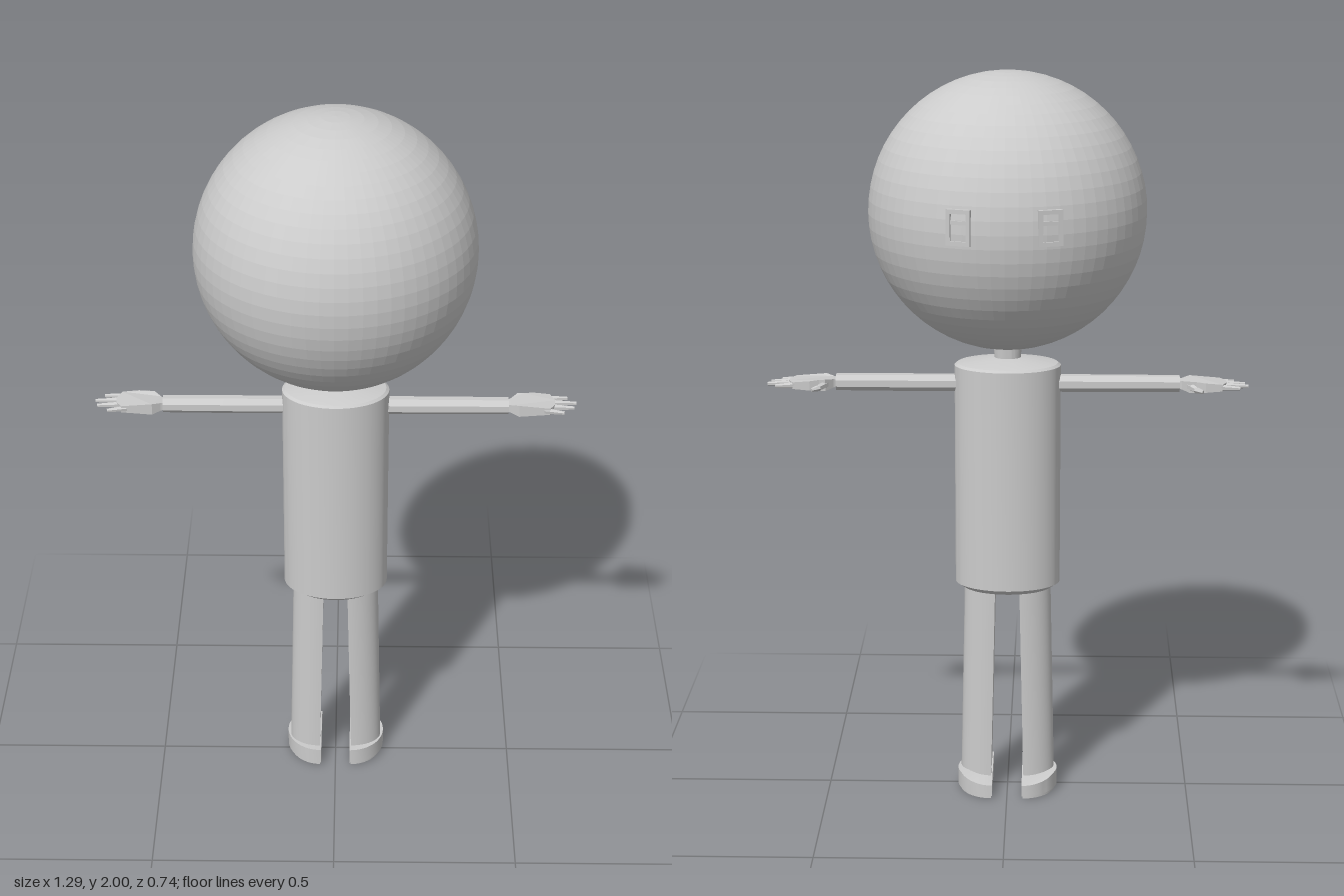
import * as THREE from 'three';
import { toCreasedNormals } from 'three/addons/utils/BufferGeometryUtils.js';

const smooth = new THREE.MeshStandardMaterial({ color: 0xcccccc });
const flat = new THREE.MeshStandardMaterial({ color: 0xcccccc, flatShading: true });

function add(parent, name, geometry, material = smooth) {
  const mesh = new THREE.Mesh(geometry, material);
  mesh.name = name;
  parent.add(mesh);
  return mesh;
}

// Move every vertex by a rule
function warp(geometry, rule) {
  const p = geometry.attributes.position, v = new THREE.Vector3();
  for (let i = 0; i < p.count; i++) {
    rule(v.fromBufferAttribute(p, i));
    p.setXYZ(i, v.x, v.y, v.z);
  }
  geometry.computeVertexNormals();
  return geometry;
}

// Upright prism from an outline of [x, z] points
function prism(points, y0, y1) {
  const shape = new THREE.Shape(points.map(([x, z]) => new THREE.Vector2(x, -z)));
  return new THREE.ExtrudeGeometry(shape, { depth: y1 - y0, bevelEnabled: false })
    .rotateX(-Math.PI / 2).translate(0, y0, 0);
}

// Half oval: flat on the inner side, round on the outer side
function halfOval(s, inner, outer, front, back) {
  const points = [];
  for (let i = 0; i <= 24; i++) {
    const a = -Math.PI / 2 + (Math.PI * i) / 24;
    points.push([s * (inner + (outer - inner) * Math.cos(a)),
      (front + back) / 2 + ((back - front) / 2) * Math.sin(a)]);
  }
  return points;
}

// Tapered faceted rod between two points
function rod(parent, name, a, b, ra, rb, sides) {
  const from = new THREE.Vector3(...a), to = new THREE.Vector3(...b);
  const dir = to.clone().sub(from);
  const geometry = new THREE.CylinderGeometry(rb, ra, dir.length(), sides).rotateY(Math.PI / sides);
  const mesh = add(parent, name, geometry, flat);
  mesh.position.copy(from).lerp(to, 0.5);
  mesh.quaternion.setFromUnitVectors(new THREE.Vector3(0, 1, 0), dir.normalize());
  return mesh;
}

// Oval lathe with sharp rims
function ovalLathe(profile, depth) {
  const points = profile.map(([r, y]) => new THREE.Vector2(r, y));
  return toCreasedNormals(new THREE.LatheGeometry(points, 64).scale(1, 1, depth), 0.25);
}

function buildLeg(s) {
  const leg = new THREE.Group();
  // Legs lean outward toward the feet
  const limb = warp(prism(halfOval(s, 0.033, 0.118, -0.06, 0.06), 0.04, 0.605), (v) => {
    v.x += s * 0.012 * (0.605 - v.y) / 0.56;
  });
  add(leg, 'limb', toCreasedNormals(limb, 0.4));
  // Toes slope down, sole edge slightly tucked in
  const foot = warp(prism(halfOval(s, 0.041, 0.138, -0.12, 0.083), 0.01, 0.056), (v) => {
    if (v.y > 0.03 && v.z < -0.06) v.y -= (-0.06 - v.z) * 0.25;
  });
  add(leg, 'foot', toCreasedNormals(foot, 0.4));
  add(leg, 'sole', toCreasedNormals(prism(halfOval(s, 0.044, 0.132, -0.113, 0.077), 0, 0.01), 0.4));
  return leg;
}

function buildArm(s) {
  const arm = new THREE.Group(), y = 1.164;
  rod(arm, 'upperArm', [s * 0.1, y, -0.003], [s * 0.3, y, -0.003], 0.024, 0.024, 8);
  rod(arm, 'forearm', [s * 0.3, y, -0.003], [s * 0.462, y, -0.003], 0.024, 0.023, 8);
  // Palm thins toward the fingers
  const outline = [[0.455, -0.015], [0.468, -0.022], [0.488, -0.044], [0.505, -0.045], [0.53, -0.052],
    [0.575, -0.05], [0.588, -0.02], [0.586, 0.005], [0.572, 0.028], [0.49, 0.028], [0.468, 0.014], [0.455, 0.01]];
  const palm = warp(prism(outline.map(([x, z]) => [s * x, z]), -1, 1), (v) => {
    const x = Math.abs(v.x);
    v.y = y + v.y * (x < 0.49 ? 0.009 + (x - 0.455) * 0.2 : 0.016 - (x - 0.49) * 0.08);
  });
  add(arm, 'palm', palm, flat);
  // Fingers: [root x, root z, tip x, tip z]
  [[0.565, -0.042, 0.622, -0.047], [0.572, -0.02, 0.645, -0.021],
    [0.572, 0.002, 0.638, 0.004], [0.558, 0.021, 0.61, 0.031]].forEach(([x0, z0, x1, z1]) =>
    rod(arm, 'finger', [s * x0, y, z0], [s * x1, y - 0.002, z1], 0.009, 0.005, 6));
  rod(arm, 'thumbBase', [s * 0.488, y, -0.03], [s * 0.507, y - 0.003, -0.063], 0.011, 0.008, 6);
  rod(arm, 'thumbTip', [s * 0.503, y - 0.003, -0.06], [s * 0.522, y - 0.006, -0.073], 0.009, 0.005, 6);
  return arm;
}

function buildEye(s) {
  const eye = new THREE.Group();
  // Rectangular frame with an opening
  const rect = (P, w, h) => new P([[-w, -h], [w, -h], [w, h], [-w, h]].map(([a, b]) => new THREE.Vector2(a, b)));
  const shape = rect(THREE.Shape, 0.032, 0.046);
  shape.holes.push(rect(THREE.Path, 0.021, 0.035));
  add(eye, 'eyeFrame', new THREE.ExtrudeGeometry(shape, { depth: 0.018, bevelEnabled: false }).translate(0, 0, -0.014), flat);
  add(eye, 'eyeBar', new THREE.BoxGeometry(0.044, 0.01, 0.012).translate(0, 0.012, -0.004), flat);
  const angle = Math.PI - s * 0.32;
  eye.position.set(0.368 * Math.sin(angle), 1.65, 0.368 * Math.cos(angle));
  eye.rotation.y = angle;
  return eye;
}

export function createModel() {
  const model = new THREE.Group();
  model.name = 'figure';

  const head = add(model, 'head', new THREE.SphereGeometry(0.368, 64, 32), flat);
  head.position.y = 1.632;

  add(model, 'neck', ovalLathe([[0.034, 1.22], [0.04, 1.29]], 0.8));
  add(model, 'torso', ovalLathe([[0, 0.59], [0.122, 0.59], [0.143, 0.604], [0.143, 1.214],
    [0.135, 1.22], [0.05, 1.235], [0, 1.235]], 0.727));

  for (const [side, s] of [['left', 1], ['right', -1]]) {
    for (const [part, build] of [['Leg', buildLeg], ['Arm', buildArm], ['Eye', buildEye]]) {
      const group = build(s);
      group.name = side + part;
      model.add(group);
    }
  }
  return model;
}
